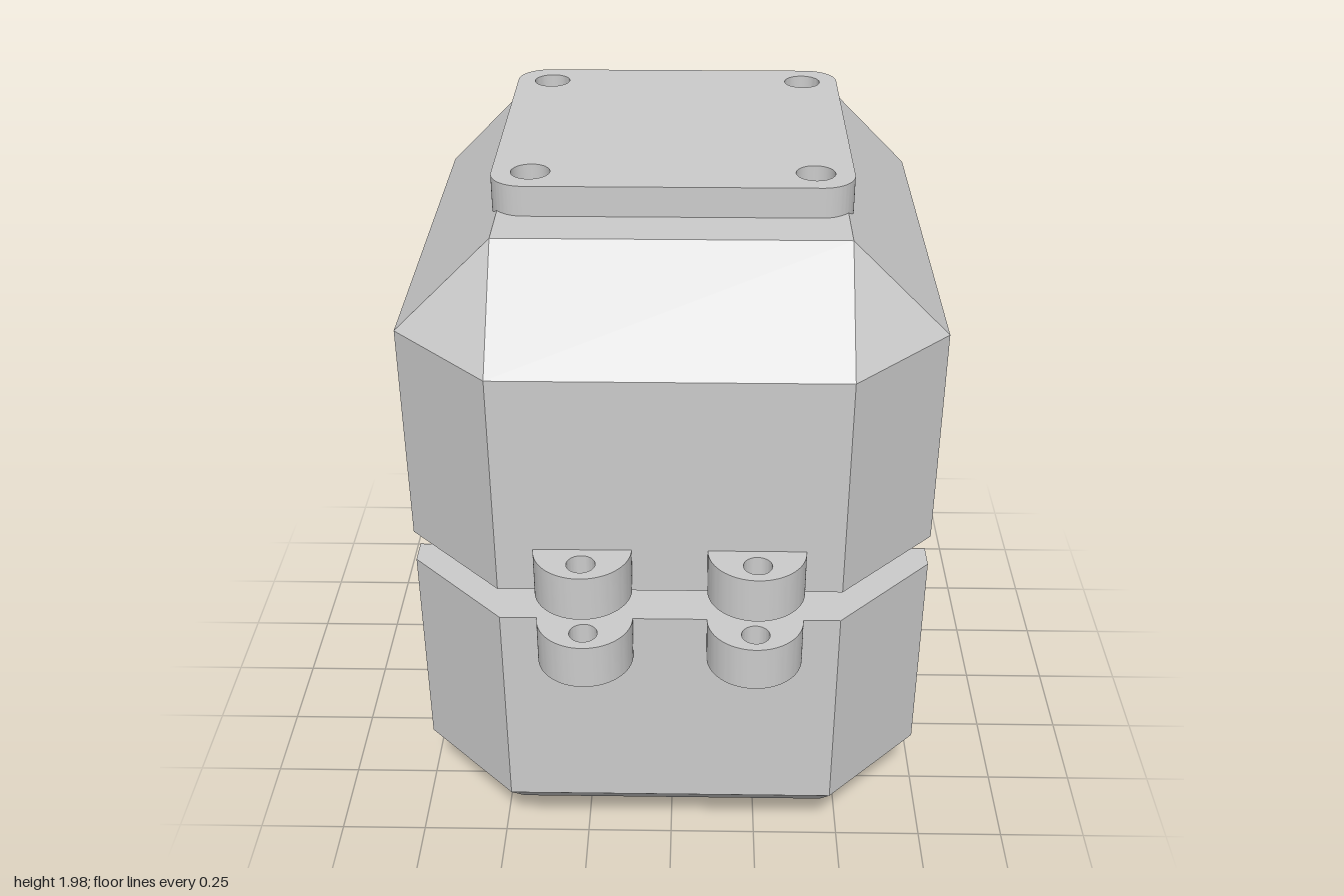
import * as THREE from 'three';
import { toCreasedNormals } from 'three/addons/utils/BufferGeometryUtils.js';

const material = new THREE.MeshStandardMaterial({ color: 0xcccccc });
const HALF_X = 0.725, HALF_Z = 0.87, CHAMFER = 0.265;
const RIM = 0.9, HEIGHT = 1.895; // rim of the lower half, height of both halves

function mesh(geometry, name) {
  const m = new THREE.Mesh(toCreasedNormals(geometry, 0.5), material);
  m.name = name;
  return m;
}

// Outline (z, y) of the lower half: chamfered outside, bore arc inside
function section(halfZ, bottom) {
  const flat = HALF_Z - CHAMFER;
  const pts = [
    [-halfZ, RIM], [-halfZ, CHAMFER], [-flat, bottom],
    [flat, bottom], [halfZ, CHAMFER], [halfZ, RIM],
  ];
  const r = 0.53, cy = 0.93, start = Math.asin((RIM - cy) / r), n = 48;
  for (let i = 0; i <= n; i++) {
    const a = start + (i / n) * (-Math.PI - 2 * start);
    pts.push([r * Math.cos(a), cy + r * Math.sin(a)]);
  }
  return pts;
}

// Loft the outline along x, narrowing at both ends for the corner chamfers
function halfBlockGeometry() {
  const end = section(HALF_Z - CHAMFER, CHAMFER);
  const core = section(HALF_Z, 0);
  const xs = [-HALF_X, CHAMFER - HALF_X, HALF_X - CHAMFER, HALF_X];
  const rings = [end, core, core, end].map((s, k) => s.map(([z, y]) => [xs[k], y, z]));
  const pos = [];
  const tri = (a, b, c) => pos.push(...a, ...b, ...c);
  const n = end.length;
  for (let k = 0; k < 3; k++) {
    for (let i = 0; i < n; i++) {
      const j = (i + 1) % n;
      tri(rings[k][i], rings[k + 1][j], rings[k][j]);
      tri(rings[k][i], rings[k + 1][i], rings[k + 1][j]);
    }
  }
  // End faces
  const contour = end.map(([z, y]) => new THREE.Vector2(z, y));
  for (const [a, b, c] of THREE.ShapeUtils.triangulateShape(contour, [])) {
    tri(rings[0][a], rings[0][b], rings[0][c]);
    tri(rings[3][a], rings[3][c], rings[3][b]);
  }
  const g = new THREE.BufferGeometry();
  g.setAttribute('position', new THREE.Float32BufferAttribute(pos, 3));
  return g;
}

function addHole(shape, x, y, r) {
  const hole = new THREE.Path();
  hole.absarc(x, y, r, 0, Math.PI * 2, true);
  shape.holes.push(hole);
}

// Half-round bolt lug, top face at y = 0, growing toward +z
function lugGeometry() {
  const r = 0.13;
  const s = new THREE.Shape();
  s.moveTo(-r, -0.01);
  s.lineTo(r, -0.01);
  s.absarc(0, 0, r, 0, Math.PI, false);
  s.closePath();
  addHole(s, 0, 0.065, 0.038);
  return new THREE.ExtrudeGeometry(s, { depth: 0.13, bevelEnabled: false, curveSegments: 24 })
    .rotateX(Math.PI / 2);
}

function clampHalf(name) {
  const half = new THREE.Group();
  half.name = name;
  half.add(mesh(halfBlockGeometry(), 'clampBlock'));
  for (const side of [1, -1]) {
    for (const x of [-0.23, 0.23]) {
      const lug = mesh(lugGeometry(), 'boltLug');
      lug.position.set(x, RIM, side * HALF_Z);
      if (side < 0) lug.rotation.y = Math.PI;
      half.add(lug);
    }
  }
  return half;
}

// Rounded mounting plate with four screw holes
function plateGeometry() {
  const w = 0.478, d = 0.465, r = 0.09, q = Math.PI / 2;
  const s = new THREE.Shape();
  s.absarc(w - r, d - r, r, 0, q, false);
  s.absarc(r - w, d - r, r, q, 2 * q, false);
  s.absarc(r - w, r - d, r, 2 * q, 3 * q, false);
  s.absarc(w - r, r - d, r, 3 * q, 4 * q, false);
  s.closePath();
  for (const x of [-0.375, 0.375]) for (const y of [-0.363, 0.363]) addHole(s, x, y, 0.052);
  return new THREE.ExtrudeGeometry(s, { depth: 0.115, bevelEnabled: false, curveSegments: 16 })
    .rotateX(-Math.PI / 2);
}

export function createModel() {
  const model = new THREE.Group();
  model.name = 'pipeClamp';

  const lower = clampHalf('lowerHalf');
  // The upper half is the lower one turned over
  const upper = clampHalf('upperHalf');
  upper.rotation.x = Math.PI;
  upper.position.y = HEIGHT;

  const plate = mesh(plateGeometry(), 'mountingPlate');
  plate.position.y = 1.863;

  model.add(lower, upper, plate);
  return model;
}
